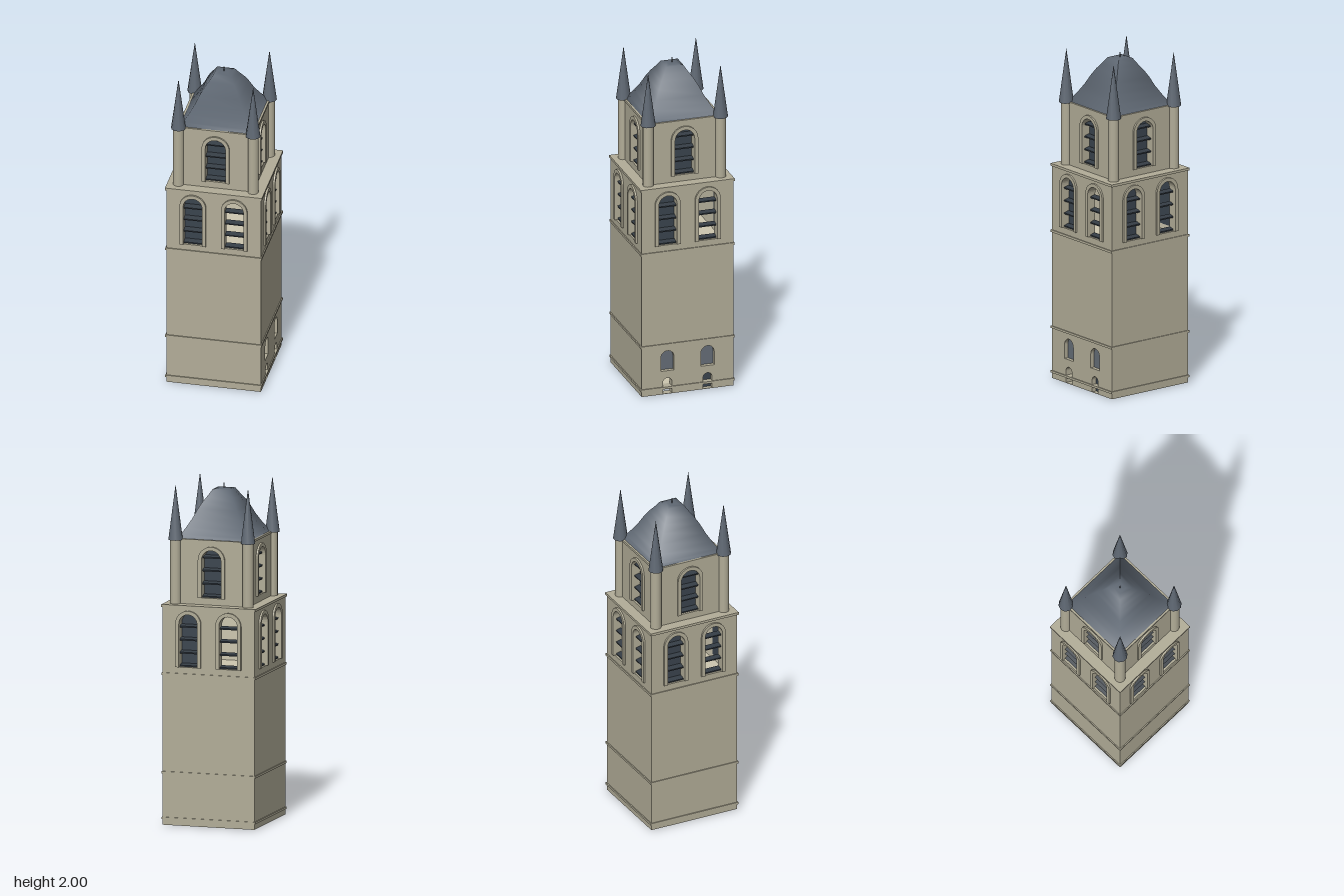
import * as THREE from 'three';

const material = (name, color, side = THREE.FrontSide) => {
  const m = new THREE.MeshStandardMaterial({ color, side });
  m.name = name;
  return m;
};

// Outline of a round-headed opening
function archPath(PathType, cx, y0, y1, hw) {
  const p = new PathType();
  p.moveTo(cx - hw, y0);
  p.lineTo(cx + hw, y0);
  p.lineTo(cx + hw, y1 - hw);
  p.absarc(cx, y1 - hw, hw, 0, Math.PI, false);
  p.lineTo(cx - hw, y0);
  return p;
}

// Horseshoe-shaped surround, open at the sill
function surroundShape(cx, y0, y1, hw, rim) {
  const s = new THREE.Shape();
  const spring = y1 - hw, outer = hw + rim;
  s.moveTo(cx - outer, y0);
  s.lineTo(cx - hw, y0);
  s.lineTo(cx - hw, spring);
  s.absarc(cx, spring, hw, Math.PI, 0, true);
  s.lineTo(cx + hw, y0);
  s.lineTo(cx + outer, y0);
  s.lineTo(cx + outer, spring);
  s.absarc(cx, spring, outer, 0, Math.PI, false);
  return s;
}

const extrude = (shape, depth) =>
  new THREE.ExtrudeGeometry(shape, { depth, bevelEnabled: false, curveSegments: 8 });

export function createModel() {
  const stone = material('stone', 0xb2ad98);
  const lining = material('pale interior stone', 0xcdc7b0, THREE.BackSide);
  const slate = material('roof slate', 0x5f6873);
  const darkGlass = material('dark shutter', 0x3a444e, THREE.DoubleSide);
  const greyGlass = material('grey window', 0x656d76, THREE.DoubleSide);
  const louver = material('louver', 0x343c44);

  const model = new THREE.Group();
  model.name = 'bellTower';
  const tower = new THREE.Group();
  tower.name = 'tower';
  tower.rotation.y = 0.712;
  model.add(tower);

  const add = (parent, name, geometry, mat, x = 0, y = 0, z = 0) => {
    const mesh = new THREE.Mesh(geometry, mat);
    mesh.name = name;
    mesh.position.set(x, y, z);
    parent.add(mesh);
    return mesh;
  };
  const slab = (name, half, y0, y1, mat = stone) =>
    add(tower, name, new THREE.BoxGeometry(half * 2, y1 - y0, half * 2), mat, 0, (y0 + y1) / 2);

  const H = 0.281, U = 0.224, T = 0.045;

  // One wall with its openings, surrounds, panes and louvers
  function wall(parent, name, half, y0, y1, openings) {
    const shape = new THREE.Shape();
    shape.moveTo(-half, y0);
    shape.lineTo(half, y0);
    shape.lineTo(half, y1);
    shape.lineTo(-half, y1);
    shape.closePath();
    for (const o of openings) shape.holes.push(archPath(THREE.Path, o.x, o.y0, o.y1, o.hw));
    add(parent, name, extrude(shape, T), stone, 0, 0, half - T);

    for (const o of openings) {
      if (o.rim) {
        add(parent, 'windowSurround', extrude(surroundShape(o.x, o.y0, o.y1, o.hw, o.rim), 0.02),
          stone, 0, 0, half - 0.009);
      }
      if (o.pane) {
        const pane = archPath(THREE.Shape, o.x, o.y0 - 0.005, o.y1 + 0.005, o.hw + 0.005);
        add(parent, 'windowPane', new THREE.ShapeGeometry(pane, 8), o.pane, 0, 0, half - (o.recess ?? T + 0.003));
      }
      for (let i = 0; i < (o.slats ?? 0); i++) {
        const slat = add(parent, 'louverSlat', new THREE.BoxGeometry(o.hw * 2, 0.009, 0.034), louver,
          o.x, o.y0 + 0.01 + i * 0.077, half - 0.026);
        slat.rotation.x = 0.25;
      }
    }
  }

  for (let i = 0; i < 4; i++) {
    const side = new THREE.Group();
    side.name = 'towerSide';
    side.rotation.y = i * Math.PI / 2;
    tower.add(side);

    // Left belfry window is shuttered, right one is open behind its louvers
    const belfry = { y0: 0.935, y1: 1.247, hw: 0.056, rim: 0.022, slats: 4 };
    const openings = [{ ...belfry, x: -0.123, pane: darkGlass }, { ...belfry, x: 0.123 }];
    if (i === 0) {
      for (const x of [-0.123, 0.123]) {
        openings.push({ x, y0: 0.145, y1: 0.27, hw: 0.041, pane: greyGlass, recess: 0.025 });
        openings.push({ x, y0: 0.002, y1: 0.1, hw: 0.028, pane: x > 0 ? darkGlass : null, recess: 0.03 });
      }
    }
    wall(side, 'lowerWall', H, 0, 1.288, openings);
    wall(side, 'upperWall', U, 1.3, 1.675,
      [{ x: 0, y0: 1.34, y1: 1.622, hw: 0.06, rim: 0.022, slats: 4, pane: darkGlass }]);
  }

  // Interior faces seen through the open arches
  slab('belfryLining', H - T - 0.001, 0.9, 1.284, lining);
  slab('entranceLining', H - T - 0.001, 0.047, 0.302, lining);

  // String courses and cornices
  slab('plinthCourse', 0.287, 0.033, 0.046);
  slab('lowerCourse', 0.287, 0.303, 0.316);
  slab('belfryCourse', 0.287, 0.884, 0.898);
  slab('mainCornice', 0.288, 1.285, 1.3);
  slab('upperCornice', 0.228, 1.668, 1.682);

  // Corner turrets with pointed caps
  for (const sx of [-1, 1]) for (const sz of [-1, 1]) {
    const turret = new THREE.Group();
    turret.name = 'cornerTurret';
    turret.position.set(sx * 0.222, 0, sz * 0.222);
    tower.add(turret);
    add(turret, 'turretShaft', new THREE.CylinderGeometry(0.032, 0.032, 0.376, 12), stone, 0, 1.488, 0);
    add(turret, 'turretSpire', new THREE.ConeGeometry(0.044, 0.325, 10), slate, 0, 1.8375, 0);
  }

  // Square bell-shaped roof
  const profile = [[0.306, 1.682], [0.283, 1.702], [0.245, 1.742], [0.206, 1.79], [0.17, 1.845],
    [0.138, 1.885], [0.106, 1.917], [0.074, 1.953], [0.035, 1.957], [0, 1.958]];
  const roofGeometry = new THREE.LatheGeometry(profile.map(([r, y]) => new THREE.Vector2(r, y)), 4);
  roofGeometry.computeVertexNormals();
  const roof = add(tower, 'bellRoof', roofGeometry, slate);
  roof.rotation.y = Math.PI / 4;
  add(tower, 'finial', new THREE.CylinderGeometry(0.003, 0.003, 0.035, 6), slate, 0, 1.97, 0);

  return model;
}
